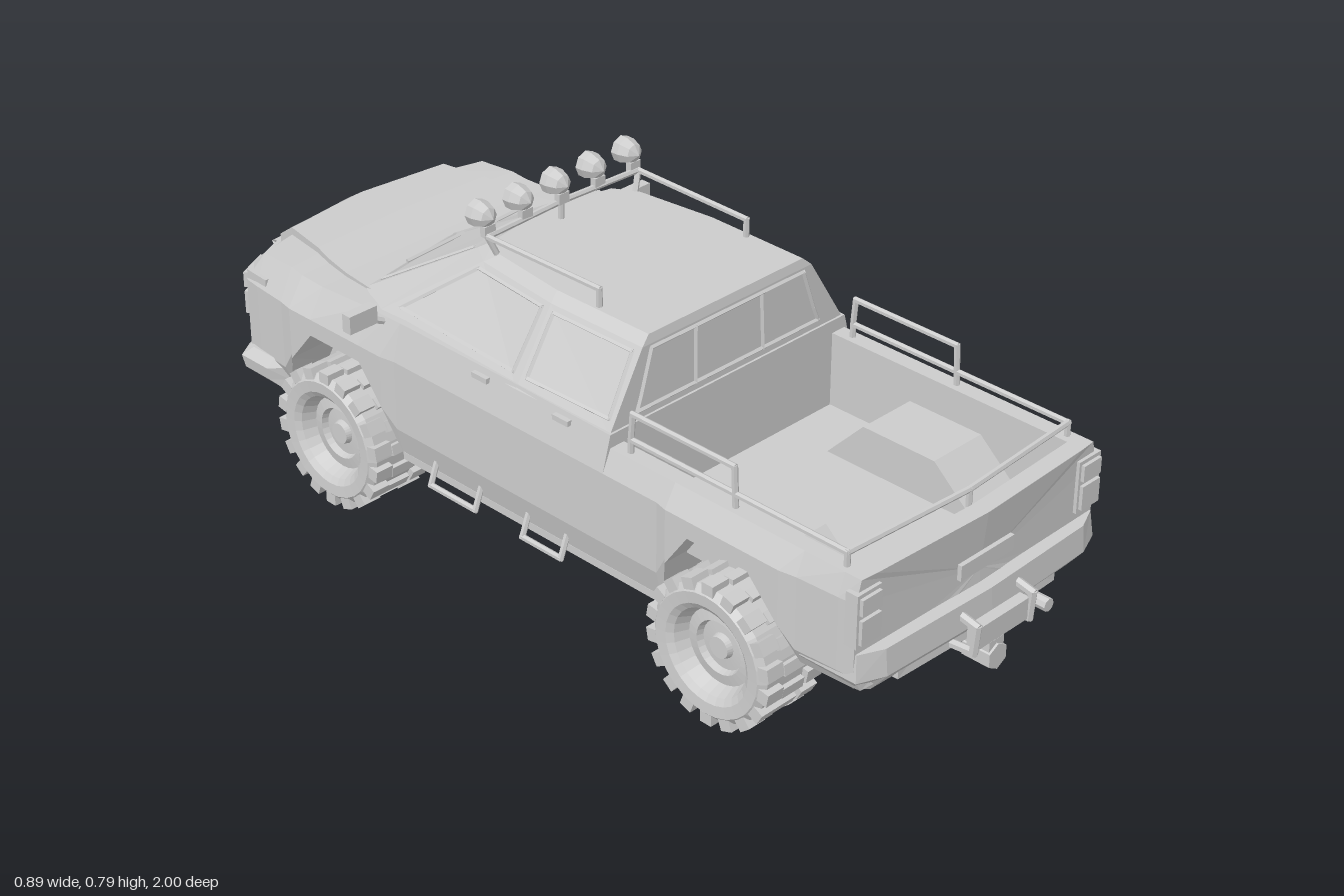
import * as THREE from 'three';

const mat = new THREE.MeshStandardMaterial({ color: 0xcccccc, flatShading: true });
const V = (x, y, z) => new THREE.Vector3(x, y, z);

export function createModel() {
  const truck = new THREE.Group();
  truck.name = 'pickupTruck';

  const add = (name, geo, parent = truck) => {
    const m = new THREE.Mesh(geo, mat);
    m.name = name;
    parent.add(m);
    return m;
  };
  const box = (name, w, h, d, x, y, z, parent) => {
    const m = add(name, new THREE.BoxGeometry(w, h, d), parent);
    m.position.set(x, y, z);
    return m;
  };
  // Round bars along a list of points
  const bars = (name, pts, r = 0.007, sides = 6) => {
    for (let i = 0; i + 1 < pts.length; i++) {
      const a = pts[i], d = pts[i + 1].clone().sub(a);
      const m = add(name, new THREE.CylinderGeometry(r, r, d.length() + r, sides));
      m.position.copy(a).addScaledVector(d, 0.5);
      m.quaternion.setFromUnitVectors(V(0, 1, 0), d.normalize());
    }
  };
  // Closed skin over a series of equal rings, turned outward by its signed volume
  const loft = (rings) => {
    const tris = [], n = rings[0].length;
    for (let r = 0; r + 1 < rings.length; r++)
      for (let i = 0; i < n; i++) {
        const j = (i + 1) % n, A = rings[r], B = rings[r + 1];
        tris.push([A[i], A[j], B[j]], [A[i], B[j], B[i]]);
      }
    [rings[0], rings[rings.length - 1]].forEach((ring, end) => {
      const c = ring.reduce((s, p) => s.add(p), V(0, 0, 0)).divideScalar(n);
      for (let i = 0; i < n; i++) {
        const a = ring[i], b = ring[(i + 1) % n];
        tris.push(end ? [a, b, c] : [b, a, c]);
      }
    });
    const volume = tris.reduce((s, [a, b, c]) => s + a.dot(b.clone().cross(c)), 0);
    if (volume < 0) tris.forEach((t) => t.reverse());
    const g = new THREE.BufferGeometry().setFromPoints(tris.flat());
    g.computeVertexNormals();
    return g;
  };
  // Completes a half ring whose first and last points lie on x = 0
  const mirror = (half) =>
    half.concat(half.slice(1, -1).reverse().map((p) => V(-p.x, p.y, p.z)));
  // Plan outlines (x, z) stacked at heights
  const level = (y, half) => half.map(([x, z]) => V(x, y, z));
  const stack = (name, levels) => add(name, loft(levels.map(([y, half]) => mirror(level(y, half)))));

  // Underside height: sill, wheel arches, raised ends
  const underside = (z) => {
    const d = Math.abs(Math.abs(z) - 0.575);
    if (d < 0.1) return 0.385;
    if (d < 0.17) return 0.3;
    return Math.abs(z) > 0.76 ? 0.22 : 0.18;
  };
  // Cross-section of the body; the top narrows and the plan bows toward the nose
  const section = (z, top, bedFloor) => {
    const a = underside(z), t = THREE.MathUtils.clamp((-z - 0.4) / 0.55, 0, 1);
    const w = (a > 0.25 ? 0.377 : 0.37) - 0.1 * Math.max(0, Math.abs(z) - 0.83);
    const inner = 0.31 - 0.09 * t, y = bedFloor ?? top + 0.02 * t;
    const floor = Math.min(a, Math.abs(z) > 0.76 ? 0.2 : 0.18);
    const bow = z > 0.8 ? -0.02 : 0.3 * Math.max(0, -z - 0.7);
    const half = [[0, floor], [0.24, floor], [0.24, a], [a > 0.25 ? w : w - 0.02, a],
      [w, Math.max(a + 0.01, 0.26)], [w, 0.425], [0.348 - 0.025 * t, top], [inner, top], [inner, y], [0, y]];
    return mirror(half.map(([px, py]) => V(px, py, z + bow * (px / 0.37) ** 2)));
  };
  const bed = [0.89, 0.77, 0.73, 0.65, 0.49, 0.43, 0.4, 0.25].map((z) => section(z, 0.475, 0.3));
  const cabAndHood = [[0.25, 0.505], [-0.02, 0.51], [-0.38, 0.51], [-0.42, 0.508], [-0.49, 0.505],
    [-0.65, 0.49], [-0.73, 0.49], [-0.78, 0.495], [-0.91, 0.49], [-0.965, 0.452]].map(([z, top]) => section(z, top));
  add('body', loft([section(0.93, 0.475), section(0.89, 0.475), ...bed, ...cabAndHood]));

  // Cab
  const low = [[0, -0.62], [0.28, -0.57], [0.335, -0.47], [0.352, -0.02], [0.345, 0.245], [0, 0.245]];
  const high = [[0, -0.335], [0.19, -0.305], [0.225, -0.25], [0.25, -0.02], [0.248, 0.24], [0, 0.24]];
  const roof = high.map(([x, z]) => [x * 0.91, z < -0.1 ? z + 0.03 : z - 0.005]);
  stack('cab', [[0.5, low], [0.66, high], [0.68, roof]]);

  // Window frames, laid on the cab faces
  const L = level(0.5, low), H = level(0.66, high);
  const onCab = (i, u, t) =>
    L[i].clone().lerp(H[i], t).lerp(L[i + 1].clone().lerp(H[i + 1], t), u);
  const sideFrame = [[0.06, 0.16], [0.94, 0.16], [0.92, 0.92], [0.06, 0.92], [0.06, 0.16]];
  const frames = [
    ['windshieldFrame', 0, [[0, 0.1], [0.93, 0.1], [0.93, 0.94], [0, 0.94]]],
    ['frontWindowFrame', 2, sideFrame],
    ['rearWindowFrame', 3, sideFrame],
    ['backWindowFrame', 4, [[1, 0.14], [0.19, 0.14], [0.18, 0.35], [0.12, 0.94], [1, 0.94]]],
    ['backWindowPillar', 4, [[0.7, 0.14], [0.62, 0.94]]],
  ];
  for (const [name, i, uv] of frames) {
    const pts = uv.map(([u, t]) => onCab(i, u, t));
    bars(name, pts, 0.005, 4);
    bars(name, pts.map((p) => V(-p.x, p.y, p.z)), 0.005, 4);
  }

  // Front bumper, fascia, grille
  const chin = (g) =>
    [[0, g - 1], [0.2, g - 0.975], [0.34, g - 0.92], [0.387 - g, g - 0.89], [0.387 - g, -0.8], [0.35, -0.77], [0, -0.77]];
  stack('frontBumper', [[0.18, chin(0.04)], [0.215, chin(0.005)], [0.245, chin(0)], [0.265, chin(0.02)]]);
  const fascia = [[0, -0.97], [0.22, -0.95], [0.355, -0.89], [0.36, -0.82], [0, -0.82]];
  stack('frontFascia', [[0.25, fascia], [0.45, fascia]]);
  const curve = (w, z) => [[0, z], [w, z + 0.02], [w, -0.9], [0, -0.9]];
  stack('grille', [[0.27, curve(0.215, -0.975)], [0.445, curve(0.215, -0.975)]]);
  for (let i = 0; i < 4; i++) {
    const y = 0.275 + i * 0.051, edge = curve(0.22, -0.98);
    stack('grilleSlat', [[y, edge], [y + 0.01, curve(0.215, -0.997)], [y + 0.02, edge]]);
  }
  box('frontPlate', 0.16, 0.04, 0.01, 0, 0.225, -0.995);

  // Rear bumper, tailgate panel, towing parts
  const tail = (g) => [[0, 0.955 - g], [0.3, 0.945 - g], [0.362 - g, 0.92 - g], [0.366 - g, 0.78], [0, 0.78]];
  stack('rearBumper', [[0.2, tail(0.04)], [0.25, tail(0)], [0.31, tail(0.006)]]);
  box('rearPlate', 0.16, 0.035, 0.01, 0, 0.372, 0.93);
  box('bumperStep', 0.16, 0.05, 0.025, 0, 0.24, 0.97);
  box('towMount', 0.17, 0.04, 0.1, 0, 0.16, 0.575);
  box('towBeam', 0.045, 0.03, 0.3, 0, 0.185, 0.82);
  bars('towHitch', [V(0, 0.16, 0.92), V(0, 0.16, 0.96)], 0.03);
  bars('exhaust', [V(0.18, 0.185, 0.5), V(0.18, 0.185, 0.95)], 0.015, 8);

  // Bed wheel housing
  const hump = new THREE.Shape([[0.37, 0.295], [0.78, 0.295], [0.66, 0.4], [0.47, 0.4]].map(([z, y]) => new THREE.Vector2(z, y)));
  const humpGeo = new THREE.ExtrudeGeometry(hump, { depth: 0.15, bevelEnabled: false });
  humpGeo.rotateY(-Math.PI / 2).translate(0.075, 0, 0);

  // Tyre and rim, turned from one profile
  const lathe = (profile, sides) =>
    new THREE.LatheGeometry(profile.map(([r, y]) => new THREE.Vector2(r, y)).reverse(), sides);
  const tyreGeo = lathe([[0, 0.045], [0.024, 0.045], [0.028, 0.032], [0.055, 0.03], [0.06, 0.045], [0.085, 0.04],
    [0.098, 0.07], [0.112, 0.08], [0.138, 0.082], [0.153, 0.068], [0.153, -0.068], [0.138, -0.082],
    [0.105, -0.075], [0.09, -0.03], [0, -0.03]], 28);
  const makeWheel = (s, z) => {
    const wheel = new THREE.Group();
    wheel.name = z < 0 ? 'frontWheel' : 'rearWheel';
    add('tyre', tyreGeo, wheel);
    for (let i = 0; i < 18; i++) {
      const tread = new THREE.Group();
      tread.name = 'tread';
      tread.rotation.y = (i * Math.PI) / 9;
      for (const e of [-1, 1]) box('treadLug', 0.026, 0.045, 0.03, 0.153, e * 0.057, 0, tread);
      box('treadBlock', 0.022, 0.06, 0.024, 0.152, 0, 0.01, tread);
      wheel.add(tread);
    }
    wheel.rotation.z = (-s * Math.PI) / 2;
    wheel.position.set(s * 0.328, 0.167, z);
    truck.add(wheel);
  };

  // Parts on both sides
  for (const s of [-1, 1]) {
    makeWheel(s, -0.575);
    makeWheel(s, 0.575);
    add('bedWheelHousing', humpGeo).position.x = s * 0.238;
    for (const [y, h] of [[0.423, 0.037], [0.366, 0.055]]) {
      box('tailLight', 0.055, h, 0.04, s * 0.332, y, 0.908);
      box('headlight', 0.09, h, 0.04, s * 0.3, y - 0.01, -0.915).rotation.y = -s * 0.45;
    }
    box('tailLightFrame', 0.068, 0.12, 0.03, s * 0.332, 0.39, 0.905);
    const bx = s * 0.085;
    bars('bumperStepBracket', [V(bx, 0.21, 0.93), V(bx, 0.215, 0.98), V(bx, 0.275, 0.985), V(bx, 0.285, 0.94)], 0.01);
    // Mirror with arm, wiper, handles
    box('mirror', 0.075, 0.042, 0.025, s * 0.407, 0.522, -0.44);
    bars('mirrorArm', [V(s * 0.335, 0.49, -0.43), V(s * 0.385, 0.512, -0.44)], 0.008);
    bars('wiper', [V(s * 0.1 - 0.08, 0.535, -0.545), V(s * 0.1 + 0.08, 0.543, -0.545)], 0.005, 4);
    for (const z of [0.12, -0.12]) box('doorHandle', 0.012, 0.012, 0.045, s * 0.357, 0.49, z);
    box('sill', 0.02, 0.018, 0.78, s * 0.345, 0.188, 0.01);
    // Hanging door steps
    for (const [a, b] of [[0.13, 0.015], [-0.13, -0.27]])
      bars('doorStep', [V(s * 0.35, 0.235, a), V(s * 0.375, 0.17, a), V(s * 0.375, 0.17, b), V(s * 0.35, 0.235, b)]);
    // Bed and roof rails
    const x = s * 0.33, rx = s * 0.215;
    bars('bedRail', [V(x, 0.47, 0.29), V(x, 0.505, 0.29), V(x, 0.505, 0.86), V(x, 0.47, 0.86)]);
    bars('upperBedRail', [V(x, 0.505, 0.29), V(x, 0.565, 0.295), V(x, 0.565, 0.57), V(x, 0.47, 0.575)]);
    bars('roofRail', [V(rx, 0.67, 0.085), V(rx, 0.72, 0.085), V(s * 0.22, 0.72, -0.24), V(s * 0.2, 0.67, -0.23)]);
    bars('tailgateRail', [V(x, 0.505, 0.86), V(0, 0.505, 0.88)]);
    bars('lightBar', [V(s * 0.22, 0.72, -0.24), V(0, 0.72, -0.25)]);
  }
  bars('tailgateRailPost', [V(0, 0.47, 0.88), V(0, 0.505, 0.88)]);
  bars('lightBarPost', [V(0, 0.67, -0.25), V(0, 0.72, -0.25)]);

  // Roof lamps facing forward
  const lampGeo = lathe([[0, 0.02], [0.02, 0.022], [0.03, 0.03], [0.03, 0.012], [0.022, -0.012], [0, -0.026]], 8);
  for (let i = -2; i <= 2; i++) {
    const lamp = add('roofLamp', lampGeo);
    lamp.rotation.x = -Math.PI / 2;
    lamp.position.set(i * 0.106, 0.76, -0.255);
    box('lampBracket', 0.03, 0.025, 0.015, i * 0.106, 0.73, -0.247);
  }

  // Fuel cap
  bars('fuelCap', [V(0.366, 0.4, 0.3), V(0.372, 0.4, 0.3)], 0.015, 8);

  // Drive train
  bars('driveShaft', [V(0, 0.165, -0.575), V(0, 0.165, 0.575)], 0.014, 8);
  for (const z of [-0.575, 0.575]) {
    bars('axle', [V(-0.3, 0.167, z), V(0.3, 0.167, z)], 0.012, 8);
    box('differential', 0.08, 0.05, 0.08, 0, 0.165, z);
  }
  return truck;
}
